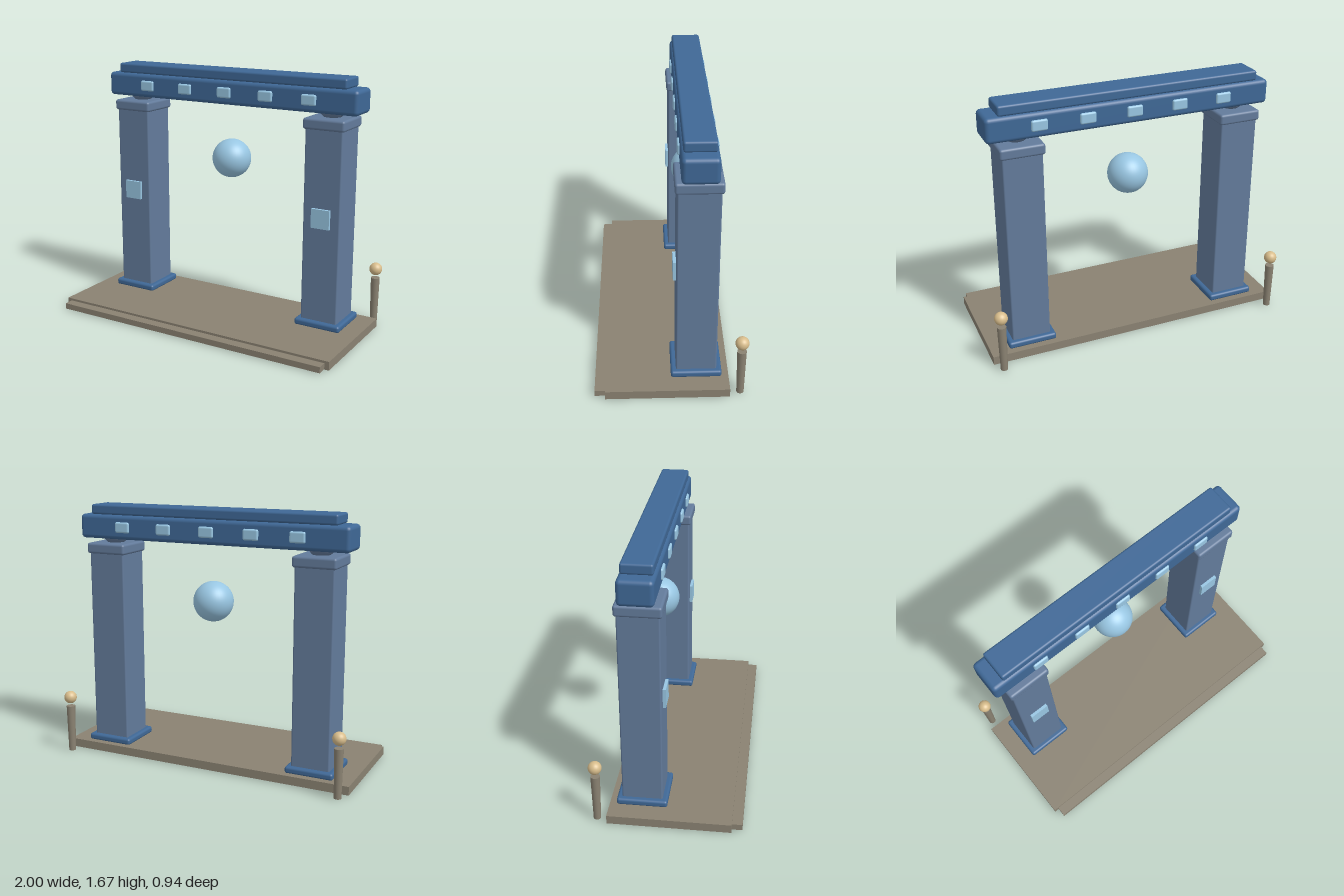
import * as THREE from 'three';
import { RoundedBoxGeometry } from 'three/addons/geometries/RoundedBoxGeometry.js';

const paint = (color) => new THREE.MeshStandardMaterial({ color });

export function createModel() {
  const root = new THREE.Group();
  const stone = paint(0x8a8272), pillarBlue = paint(0x637b9b), deepBlue = paint(0x3f6896);
  const glow = paint(0x98c6e2), sand = paint(0xd8bd8c), earth = paint(0x756b50);
  const gateZ = -0.162;

  const add = (name, geometry, material, x, y, z, parent = root) => {
    const mesh = new THREE.Mesh(geometry, material);
    mesh.name = name;
    mesh.position.set(x, y, z);
    parent.add(mesh);
    return mesh;
  };
  // Box given by its bottom and top heights, with optional rounded edges
  const block = (name, w, y0, y1, d, r, material, x, z, parent) => {
    const h = y1 - y0;
    const geometry = r ? new RoundedBoxGeometry(w, h, d, 3, r) : new THREE.BoxGeometry(w, h, d);
    return add(name, geometry, material, x, (y0 + y1) / 2, z, parent);
  };

  // Platform with a low front step and a plate underneath
  block('platform', 2, 0.004, 0.06, 0.765, 0, stone, 0, 0.02);
  block('frontStep', 1.94, 0.006, 0.045, 0.08, 0, stone, 0, 0.427);
  block('undersidePlate', 0.87, 0, 0.01, 0.26, 0, earth, 0, -0.06);

  // Two pillars, each with a lantern post behind it
  for (const side of [1, -1]) {
    const label = side > 0 ? 'left' : 'right';
    const pillar = new THREE.Group();
    pillar.name = label + 'Pillar';
    pillar.position.set(side * 0.722, 0, gateZ);
    root.add(pillar);
    block('base', 0.316, 0.055, 0.1, 0.316, 0.016, deepBlue, 0, 0, pillar);
    block('shaft', 0.252, 0.08, 1.37, 0.252, 0.01, pillarBlue, 0, 0, pillar);
    block('capital', 0.28, 1.35, 1.42, 0.28, 0.016, pillarBlue, 0, 0, pillar);
    add('bearing', new THREE.SphereGeometry(0.09, 32, 20), pillarBlue, 0, 1.49, 0, pillar);
    block('frontPanel', 0.125, 0.727, 0.852, 0.03, 0, glow, 0, 0.13, pillar);

    const post = new THREE.Group();
    post.name = label + 'LanternPost';
    post.position.set(side * 0.952, 0, -0.428);
    root.add(post);
    add('postShaft', new THREE.CylinderGeometry(0.029, 0.023, 0.315, 20), stone, 0, 0.1625, 0, post);
    add('lantern', new THREE.SphereGeometry(0.042, 24, 16), sand, 0, 0.38, 0, post);
  }

  // Lintel and its upper slab
  block('lintel', 1.86, 1.447, 1.605, 0.214, 0.026, deepBlue, 0, gateZ);
  block('topSlab', 1.7, 1.605, 1.67, 0.19, 0.014, deepBlue, 0, gateZ);

  // Light tiles showing on both faces of the lintel
  for (let i = -2; i <= 2; i++) {
    block('lintelTile', 0.102, 1.492, 1.562, 0.24, 0.012, glow, i * 0.303, gateZ);
  }

  // Orb floating in the opening
  add('floatingOrb', new THREE.SphereGeometry(0.13, 40, 28), glow, 0, 1.075, gateZ);
  return root;
}
